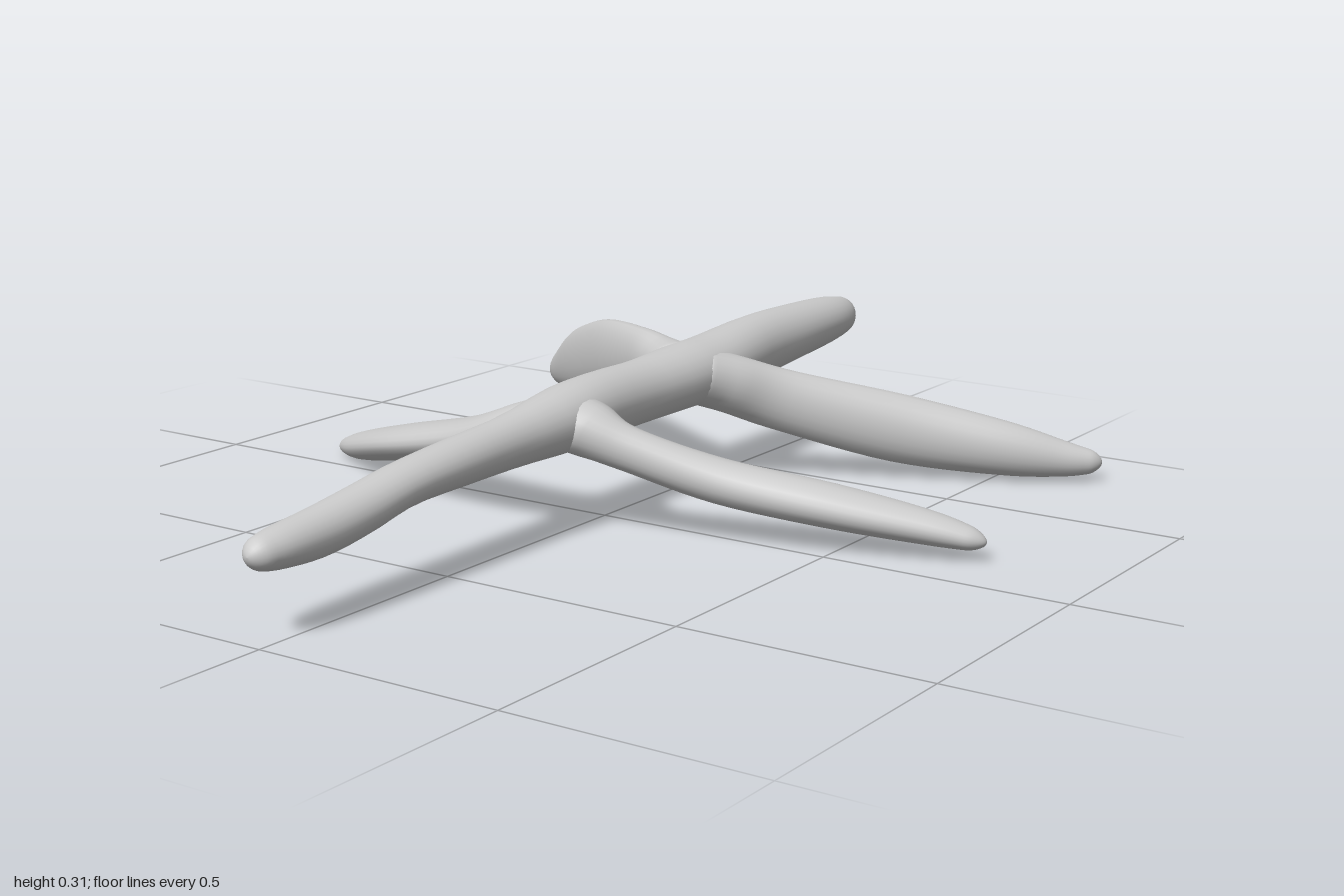
import * as THREE from 'three';

const material = new THREE.MeshStandardMaterial({ color: 0xcccccc });
const SIDES = 24;
const RINGS = 56;

// Smooth limb with elliptical sections and rounded ends.
// Each station is [x, y, z, half width, half height].
function limb(name, stations, cap) {
  const path = new THREE.CatmullRomCurve3(
    stations.map(([x, y, z]) => new THREE.Vector3(x, y, z)), false, 'catmullrom', 0.5);
  const size = new THREE.CatmullRomCurve3(
    stations.map(([, , , w, h]) => new THREE.Vector3(w, h, 0)), false, 'catmullrom', 0.5);
  const up = new THREE.Vector3(0, 1, 0);
  const positions = [];
  const index = [];

  for (let i = 0; i <= RINGS; i++) {
    const t = (1 - Math.cos((Math.PI * i) / RINGS)) / 2;
    const p = path.getPoint(t);
    const r = size.getPoint(t);
    const tangent = path.getTangent(t);
    const side = new THREE.Vector3().crossVectors(up, tangent).normalize();
    const lift = new THREE.Vector3().crossVectors(tangent, side);
    const end = Math.min(1, Math.min(t, 1 - t) / cap);
    const round = Math.sqrt(Math.max(0, 1 - (1 - end) ** 2));
    for (let j = 0; j < SIDES; j++) {
      const a = (j / SIDES) * Math.PI * 2;
      const v = p.clone()
        .addScaledVector(side, Math.cos(a) * r.x * round)
        .addScaledVector(lift, Math.sin(a) * r.y * round);
      positions.push(v.x, v.y, v.z);
    }
  }
  for (let i = 0; i < RINGS; i++) {
    for (let j = 0; j < SIDES; j++) {
      const k = (j + 1) % SIDES;
      const a = i * SIDES + j, b = i * SIDES + k;
      const c = a + SIDES, d = b + SIDES;
      index.push(a, b, c, b, d, c);
    }
  }
  const geometry = new THREE.BufferGeometry();
  geometry.setAttribute('position', new THREE.Float32BufferAttribute(positions, 3));
  geometry.setIndex(index);
  geometry.computeVertexNormals();
  const mesh = new THREE.Mesh(geometry, material);
  mesh.name = name;
  return mesh;
}

export function createModel() {
  const group = new THREE.Group();
  group.name = 'branchingBody';

  // Long central stem, from the back end to the slightly drooping front end
  group.add(limb('stem', [
    [-0.02, 0.255, -1.0, 0.03, 0.035],
    [-0.02, 0.255, -0.9, 0.055, 0.05],
    [-0.02, 0.252, -0.75, 0.064, 0.06],
    [-0.02, 0.246, -0.58, 0.067, 0.068],
    [-0.015, 0.236, -0.4, 0.078, 0.067],
    [-0.015, 0.234, -0.3, 0.078, 0.067],
    [-0.02, 0.228, -0.15, 0.068, 0.064],
    [-0.02, 0.228, 0.0, 0.067, 0.066],
    [-0.02, 0.222, 0.12, 0.07, 0.065],
    [-0.02, 0.212, 0.28, 0.052, 0.052],
    [-0.02, 0.206, 0.45, 0.051, 0.046],
    [-0.02, 0.198, 0.6, 0.05, 0.041],
    [-0.02, 0.178, 0.72, 0.05, 0.044],
    [-0.02, 0.164, 0.83, 0.047, 0.044],
    [-0.02, 0.161, 0.93, 0.042, 0.037],
    [-0.02, 0.161, 1.0, 0.025, 0.025],
  ], 0.03));

  // Slim front branch on the left
  group.add(limb('frontLeftBranch', [
    [-0.02, 0.22, 0.1, 0.085, 0.055],
    [0.04, 0.205, 0.1, 0.065, 0.055],
    [0.12, 0.175, 0.085, 0.04, 0.044],
    [0.28, 0.122, 0.015, 0.05, 0.044],
    [0.48, 0.09, -0.055, 0.06, 0.042],
    [0.66, 0.062, -0.115, 0.045, 0.032],
    [0.765, 0.042, -0.145, 0.022, 0.018],
  ], 0.06));

  // Broad, flatter front branch on the right
  group.add(limb('frontRightBranch', [
    [-0.02, 0.22, 0.11, 0.09, 0.055],
    [-0.1, 0.2, 0.135, 0.073, 0.048],
    [-0.23, 0.157, 0.105, 0.079, 0.041],
    [-0.45, 0.1, 0.035, 0.082, 0.038],
    [-0.65, 0.045, -0.05, 0.056, 0.032],
    [-0.765, 0.018, -0.1, 0.02, 0.015],
  ], 0.06));

  // Deep back branch on the left
  group.add(limb('backLeftBranch', [
    [-0.01, 0.235, -0.32, 0.08, 0.06],
    [0.05, 0.21, -0.38, 0.058, 0.062],
    [0.14, 0.168, -0.465, 0.044, 0.066],
    [0.33, 0.11, -0.6, 0.052, 0.073],
    [0.52, 0.073, -0.705, 0.049, 0.058],
    [0.63, 0.052, -0.77, 0.035, 0.038],
    [0.7, 0.045, -0.81, 0.017, 0.02],
  ], 0.06));

  // Thin, upright back branch on the right
  group.add(limb('backRightBranch', [
    [-0.01, 0.24, -0.29, 0.08, 0.06],
    [-0.08, 0.236, -0.335, 0.055, 0.064],
    [-0.17, 0.232, -0.385, 0.038, 0.07],
    [-0.34, 0.2, -0.505, 0.037, 0.08],
    [-0.52, 0.142, -0.645, 0.035, 0.073],
    [-0.65, 0.09, -0.755, 0.026, 0.045],
    [-0.732, 0.06, -0.83, 0.014, 0.02],
  ], 0.06));

  return group;
}
